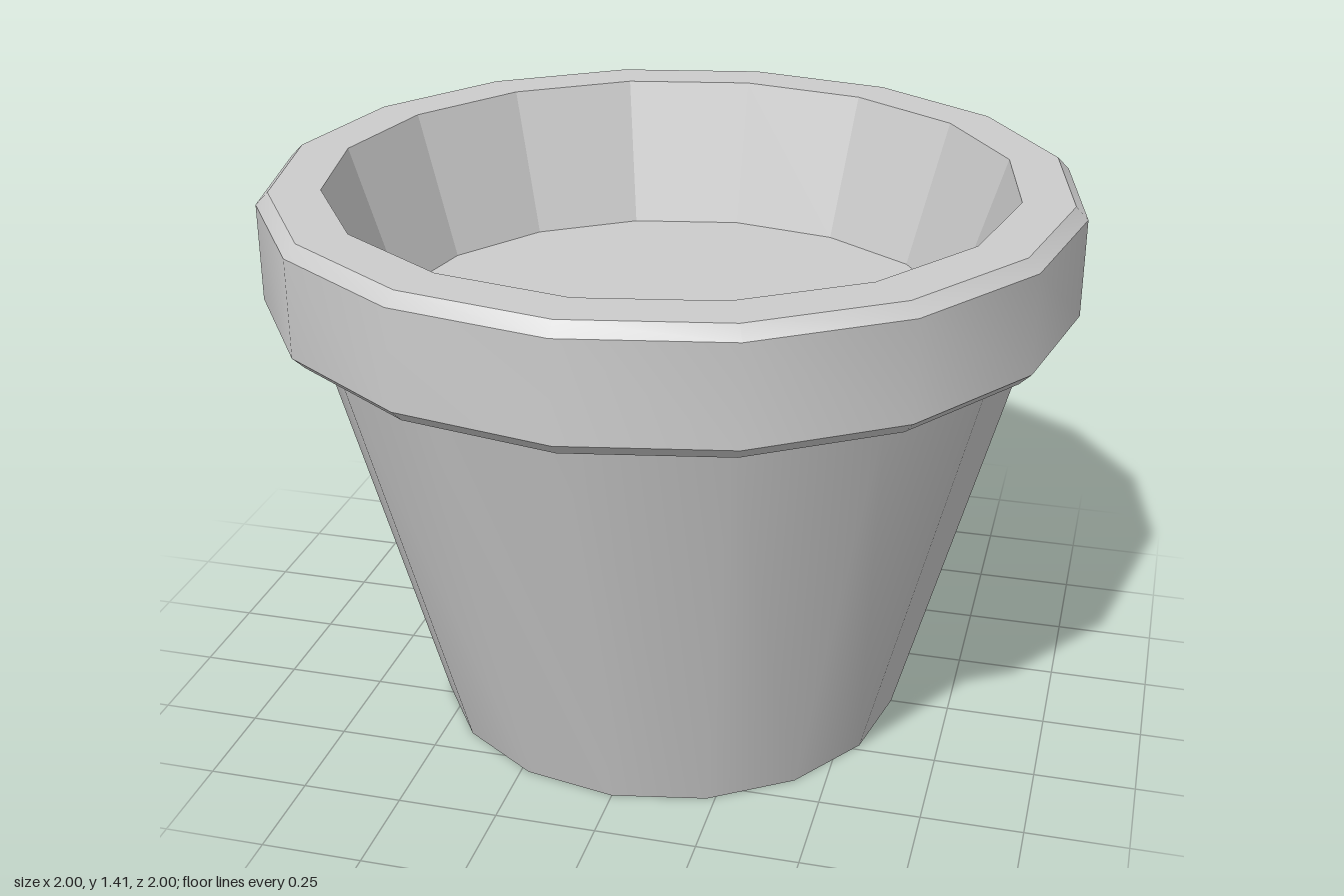
import * as THREE from 'three';
import { toCreasedNormals } from 'three/addons/utils/BufferGeometryUtils.js';

const SIDES = 16;

export function createModel() {
  const group = new THREE.Group();
  group.name = 'flowerPot';
  const smooth = new THREE.MeshStandardMaterial({ color: 0xcccccc });
  const faceted = new THREE.MeshStandardMaterial({ color: 0xcccccc, flatShading: true });

  const add = (name, geometry, material) => {
    const mesh = new THREE.Mesh(geometry, material);
    mesh.name = name;
    group.add(mesh);
    return mesh;
  };

  // Turned surface: rounded around the axis, sharp along the profile
  const turned = (points) => toCreasedNormals(
    new THREE.LatheGeometry(points.map(([r, y]) => new THREE.Vector2(r, y)), SIDES), 0.5);

  // Flat disc facing up or down
  const disc = (radius, up) =>
    new THREE.CircleGeometry(radius, SIDES).rotateX(up ? -Math.PI / 2 : Math.PI / 2);

  // Tapered body and its base
  add('body', turned([[0.6, 0], [0.9, 1.11]]), smooth);
  add('base', disc(0.6, false), smooth);

  // Bevelled collar, from the underside over to the inner lip
  add('rim', turned([
    [0.9, 1.11], [0.97, 1.11], [1, 1.14], [1, 1.38], [0.97, 1.41], [0.845, 1.41],
  ]), smooth);

  // Faceted inside wall down to the soil
  add('innerWall', turned([[0.845, 1.41], [0.725, 1.04]]), faceted);
  add('soil', disc(0.725, true), smooth).position.y = 1.04;

  return group;
}
